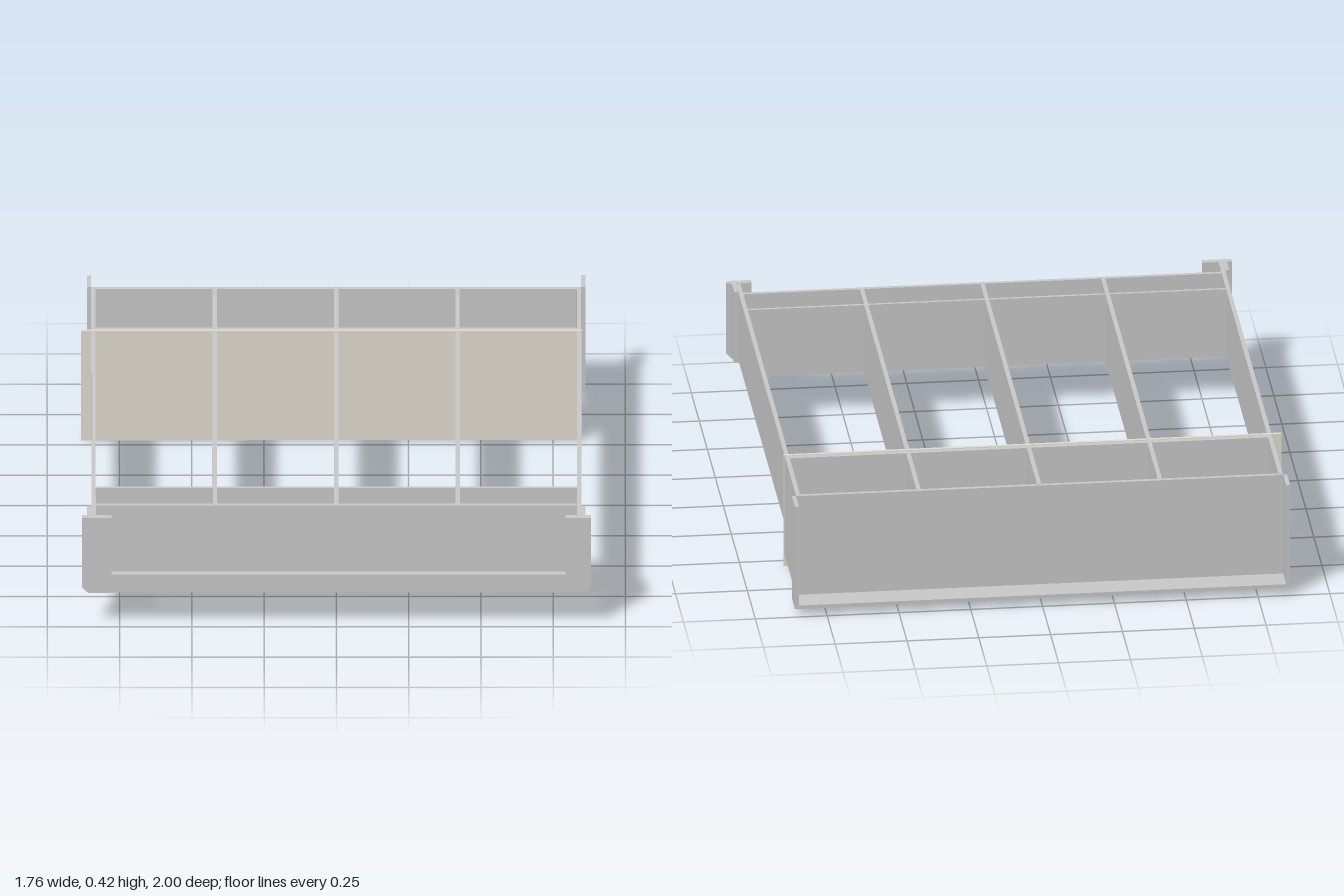
import * as THREE from 'three';

const TOP = 0.415, LOW = 0.16, DEEP = 0.043, T = 0.015;

export function createModel() {
  const model = new THREE.Group();
  const grey = new THREE.MeshStandardMaterial({ color: 0xcccccc, flatShading: true });
  const tan = new THREE.MeshStandardMaterial({ color: 0xe4dfd2, flatShading: true });

  const add = (name, geometry, material = grey) => {
    const mesh = new THREE.Mesh(geometry, material);
    mesh.name = name;
    model.add(mesh);
  };
  // Box given by its limits on each axis
  const box = (name, [x0, x1], [y0, y1], [z0, z1], material) => {
    const g = new THREE.BoxGeometry(x1 - x0, y1 - y0, z1 - z0);
    g.translate((x0 + x1) / 2, (y0 + y1) / 2, (z0 + z1) / 2);
    add(name, g, material);
  };
  const outline = (points) => new THREE.Shape(points.map(([x, y]) => new THREE.Vector2(x, y)));

  // Lengthwise boards, deeper behind the cross plate
  const board = (name, x, front) => {
    const shape = outline([[-0.895, DEEP], [-0.545, DEEP], [-0.545, LOW], [front, LOW], [front, TOP], [-0.895, TOP]]);
    const g = new THREE.ExtrudeGeometry(shape, { depth: T, bevelEnabled: false });
    g.rotateY(-Math.PI / 2).translate(x + T / 2, 0, 0);
    add(name, g);
  };
  board('leftSide', 0.84, 0.975);
  board('rightSide', -0.84, 0.975);
  for (const x of [-0.42, 0, 0.42]) board('divider', x, 0.885);

  // Crosswise walls
  const inner = [-0.835, 0.835];
  box('frontWall', inner, [LOW, TOP - 0.001], [0.879, 0.894]);
  box('frontPartition', inner, [LOW + 0.001, TOP - 0.001], [0.739, 0.75]);
  box('middleWall', inner, [DEEP + 0.001, TOP - 0.001], [-0.572, -0.55]);
  box('backWall', [-0.848, 0.848], [DEEP - 0.001, TOP - 0.001], [-0.905, -0.89]);
  box('crossPlate', [-0.882, 0.851], [0, TOP + 0.001], [-0.55, -0.538], tan);

  // End flanges and bottom ledges at the front and back
  for (const s of [-1, 1]) {
    const span = s < 0 ? [-0.862, -0.848] : [0.848, 0.862];
    box('frontFlange', span, [LOW - 0.012, TOP], [0.902, 0.976]);
    box('backFlange', span, [0.03, TOP], [-1, -0.904]);
  }
  box('frontLedge', [-0.848, 0.848], [LOW - 0.012, LOW], [0.9, 0.976]);
  box('backLedge', [-0.848, 0.848], [0.03, DEEP], [-1, -0.904]);

  // U-shaped front frame with clipped lower corners
  const frame = outline([
    [-0.88, TOP], [-0.88, 0.15], [-0.86, 0.13], [0.86, 0.13], [0.88, 0.15], [0.88, TOP],
    [0.793, TOP], [0.793, 0.2], [-0.778, 0.2], [-0.778, TOP],
  ]);
  const frameGeometry = new THREE.ExtrudeGeometry(frame, { depth: 0.024, bevelEnabled: false });
  add('frontFrame', frameGeometry.translate(0, 0, 0.976));

  return model;
}
